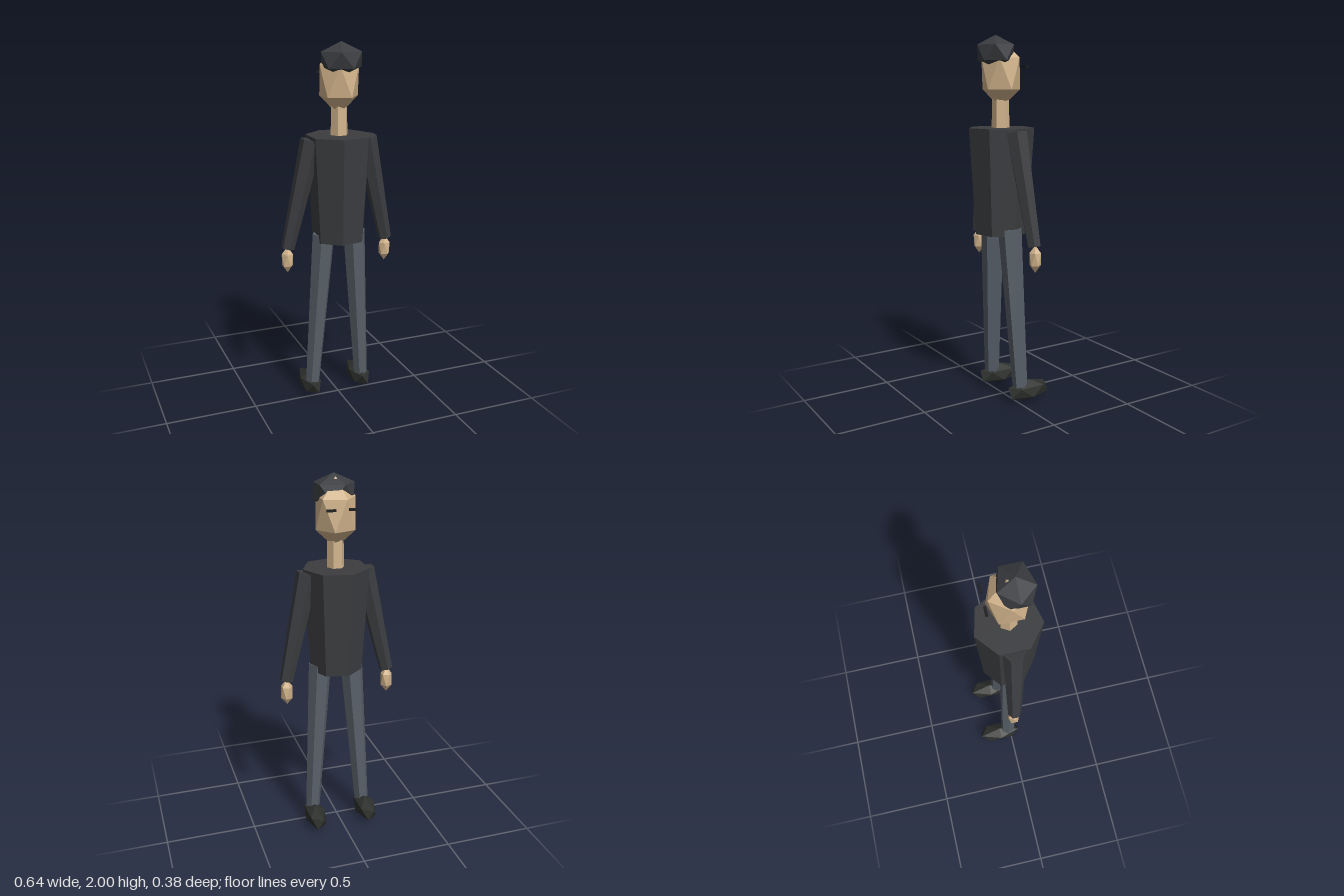
import * as THREE from 'three';
import { ConvexGeometry } from 'three/addons/geometries/ConvexGeometry.js';

const paint = (color) => new THREE.MeshStandardMaterial({ color, flatShading: true });
const MAT = {
  skin: paint(0xd2b48c),
  shirt: paint(0x3c3d40),
  trousers: paint(0x586068),
  shoe: paint(0x2d302c),
  cap: paint(0x3a3c40),
  dark: paint(0x1c1d20),
};

// Stretched icosahedron with a point at top and bottom
function gem(name, material, center, radii) {
  const points = [new THREE.Vector3(0, 1, 0), new THREE.Vector3(0, -1, 0)];
  const y = 1 / Math.sqrt(5), r = 2 * y;
  for (let i = 0; i < 5; i++) {
    const a = (i * 2 * Math.PI) / 5;
    points.push(new THREE.Vector3(-r * Math.cos(a), y, -r * Math.sin(a)));
    points.push(new THREE.Vector3(r * Math.cos(a), -y, r * Math.sin(a)));
  }
  const scale = new THREE.Vector3(...radii);
  points.forEach((p) => p.multiply(scale));
  const mesh = new THREE.Mesh(new ConvexGeometry(points), material);
  mesh.name = name;
  mesh.position.set(...center);
  return mesh;
}

// Tapered prism running from a bottom point to a top point
function prism(name, material, bottom, top, rBottom, rTop, sides, turn = Math.PI / 2) {
  const a = new THREE.Vector3(...bottom), b = new THREE.Vector3(...top);
  const axis = b.clone().sub(a);
  const geometry = new THREE.CylinderGeometry(rTop, rBottom, axis.length(), sides, 1, false, turn);
  const mesh = new THREE.Mesh(geometry, material);
  mesh.name = name;
  mesh.position.copy(a).add(b).multiplyScalar(0.5);
  mesh.quaternion.setFromUnitVectors(new THREE.Vector3(0, 1, 0), axis.normalize());
  return mesh;
}

export function createModel() {
  const model = new THREE.Group();
  model.name = 'figure';

  // Body, neck, head and cap
  model.add(
    prism('torso', MAT.shirt, [0, 0.94, 0.0125], [0, 1.515, 0.0125], 0.144, 0.18, 7),
    prism('neck', MAT.skin, [0, 1.48, 0.0145], [0, 1.7, 0.0145], 0.049, 0.044, 6),
    gem('head', MAT.skin, [0, 1.8, 0.0125], [0.12, 0.185, 0.118]),
    gem('cap', MAT.cap, [0, 1.908, 0.046], [0.126, 0.092, 0.107]),
  );

  for (const [side, s] of [['left', 1], ['right', -1]]) {
    // Thin slits for the eyes
    const eye = new THREE.Mesh(new THREE.BoxGeometry(0.048, 0.012, 0.013), MAT.dark);
    eye.name = `${side}Eye`;
    eye.position.set(s * 0.059, 1.836, -0.102);

    // Limbs with hands and shoes
    model.add(
      eye,
      prism(`${side}Arm`, MAT.shirt, [s * 0.289, 0.908, -0.012], [s * 0.155, 1.495, 0.0125], 0.037, 0.06, 6, 0),
      gem(`${side}Hand`, MAT.skin, [s * 0.29, 0.842, -0.018], [0.036, 0.074, 0.036]),
      prism(`${side}Leg`, MAT.trousers, [s * 0.15, 0.09, -0.018], [s * 0.09, 0.975, 0.0125], 0.041, 0.064, 6),
      gem(`${side}Shoe`, MAT.shoe, [s * 0.152, 0.06, -0.071], [0.062, 0.06, 0.141]),
    );
  }
  return model;
}
